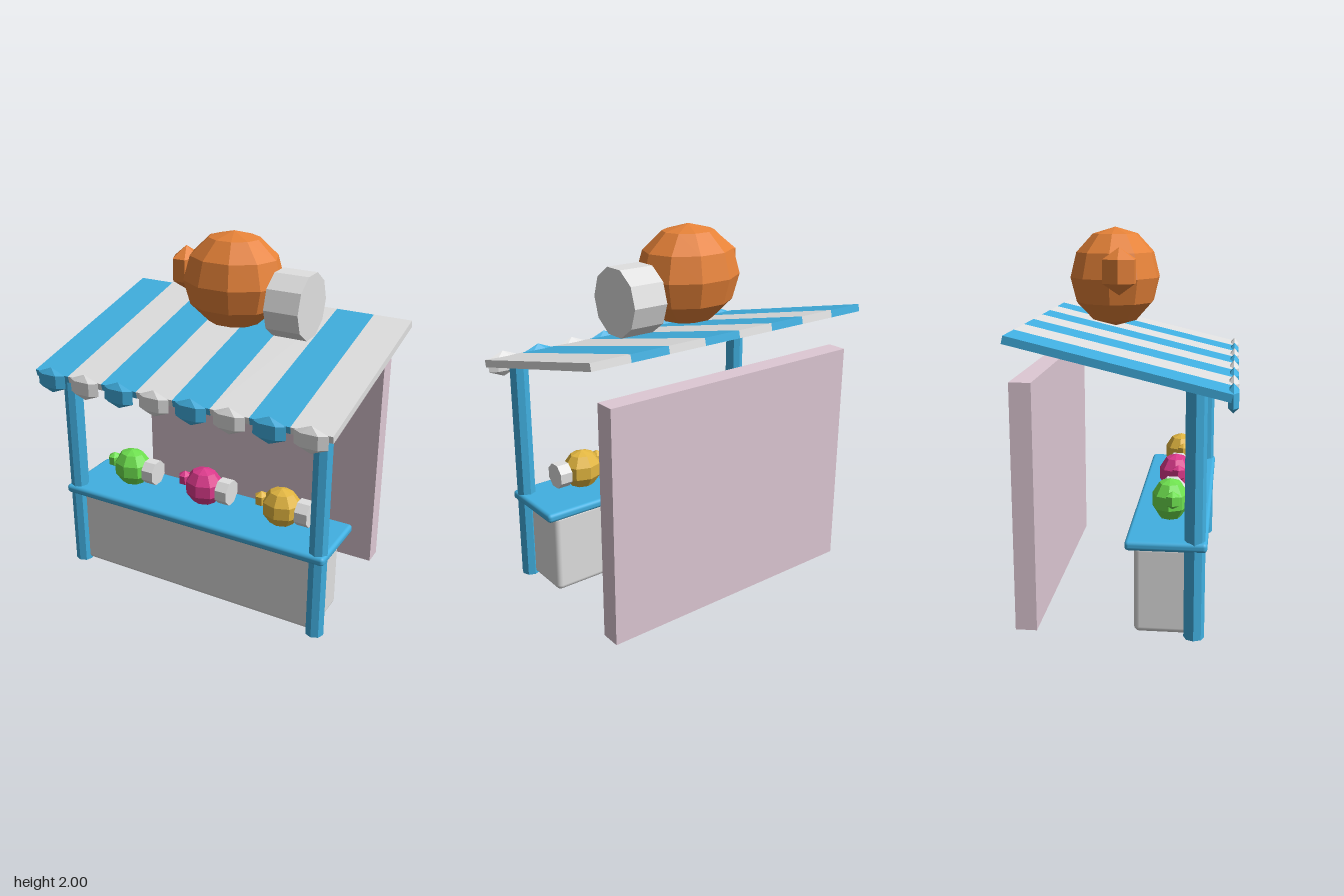
import * as THREE from 'three';
import { RoundedBoxGeometry } from 'three/addons/geometries/RoundedBoxGeometry.js';

const paint = (name, color) => {
  const m = new THREE.MeshStandardMaterial({ color });
  m.name = name;
  return m;
};

// Gives a geometry hard facets
const facet = (geometry) => {
  const g = geometry.toNonIndexed();
  g.computeVertexNormals();
  return g;
};

// Low-poly ellipsoid with baked proportions
const blob = (rx, ry, rz, across, up) =>
  facet(new THREE.SphereGeometry(1, across, up).scale(rx, ry, rz));

// Faceted drum lying along x
const drum = (r, length, sides, turn = 0) =>
  facet(new THREE.CylinderGeometry(r, r, length, sides).rotateY(turn).rotateZ(Math.PI / 2));

export function createModel() {
  const blue = paint('blue', 0x41b0e1);
  const white = paint('white', 0xe0e0e0);
  const pink = paint('dusty pink', 0xdec8d4);
  const orange = paint('orange', 0xe68238);
  const green = paint('green', 0x6ee04f);
  const magenta = paint('magenta', 0xdc3a8c);
  const yellow = paint('yellow', 0xe2b640);

  const model = new THREE.Group();
  model.name = 'marketStall';
  const add = (parent, name, geometry, material, x, y, z) => {
    const mesh = new THREE.Mesh(geometry, material);
    mesh.name = name;
    mesh.position.set(x, y, z);
    parent.add(mesh);
    return mesh;
  };

  // Counter and back wall
  add(model, 'cabinet', new RoundedBoxGeometry(1.52, 0.46, 0.315, 3, 0.03), white, 0, 0.235, 0.208);
  add(model, 'counterTop', new RoundedBoxGeometry(1.64, 0.05, 0.406, 3, 0.02), blue, 0, 0.485, 0.214);
  add(model, 'backWall', new THREE.BoxGeometry(1.56, 1.28, 0.11), pink, 0, 0.64, -0.495);

  // Front posts
  const post = facet(new THREE.CylinderGeometry(0.052, 0.052, 1.28, 8));
  for (const side of [-1, 1]) add(model, 'post', post, blue, side * 0.766, 0.64, 0.355);

  // Striped awning with a scallop at the end of each stripe
  const stripe = new THREE.BoxGeometry(0.22, 0.04, 1.1);
  const scallop = blob(0.104, 0.073, 0.035, 6, 3);
  for (let i = 0; i < 8; i++) {
    const x = (i - 3.5) * 0.22;
    const material = i % 2 ? white : blue;
    add(model, 'awningStripe', stripe, material, x, 1.372, -0.014).rotation.x = 0.235;
    add(model, 'awningScallop', scallop, material, x, 1.224, 0.527);
  }

  // Large piece on the roof
  const sign = new THREE.Group();
  sign.name = 'roofOrnament';
  sign.position.set(0, 1.732, -0.129);
  add(sign, 'ornamentBody', blob(0.29, 0.268, 0.247, 10, 6), orange, 0, 0, 0);
  add(sign, 'ornamentKnob', blob(0.085, 0.124, 0.113, 6, 3), orange, -0.266, 0.045, 0.053);
  add(sign, 'ornamentDrum', drum(0.182, 0.196, 10), white, 0.368, -0.084, 0.002);
  model.add(sign);

  // Small pieces on the counter
  const body = blob(0.115, 0.112, 0.097, 8, 5);
  const knob = blob(0.041, 0.047, 0.045, 6, 3);
  const cap = drum(0.073, 0.072, 8, Math.PI / 8);
  [green, magenta, yellow].forEach((material, i) => {
    const item = new THREE.Group();
    item.name = 'counterItem';
    item.position.set((i - 1) * 0.482, 0.625, 0.213);
    add(item, 'itemBody', body, material, 0, 0, 0);
    add(item, 'itemKnob', knob, material, -0.111, 0.029, 0.02);
    add(item, 'itemDrum', cap, white, 0.141, 0.001, 0);
    model.add(item);
  });

  return model;
}
